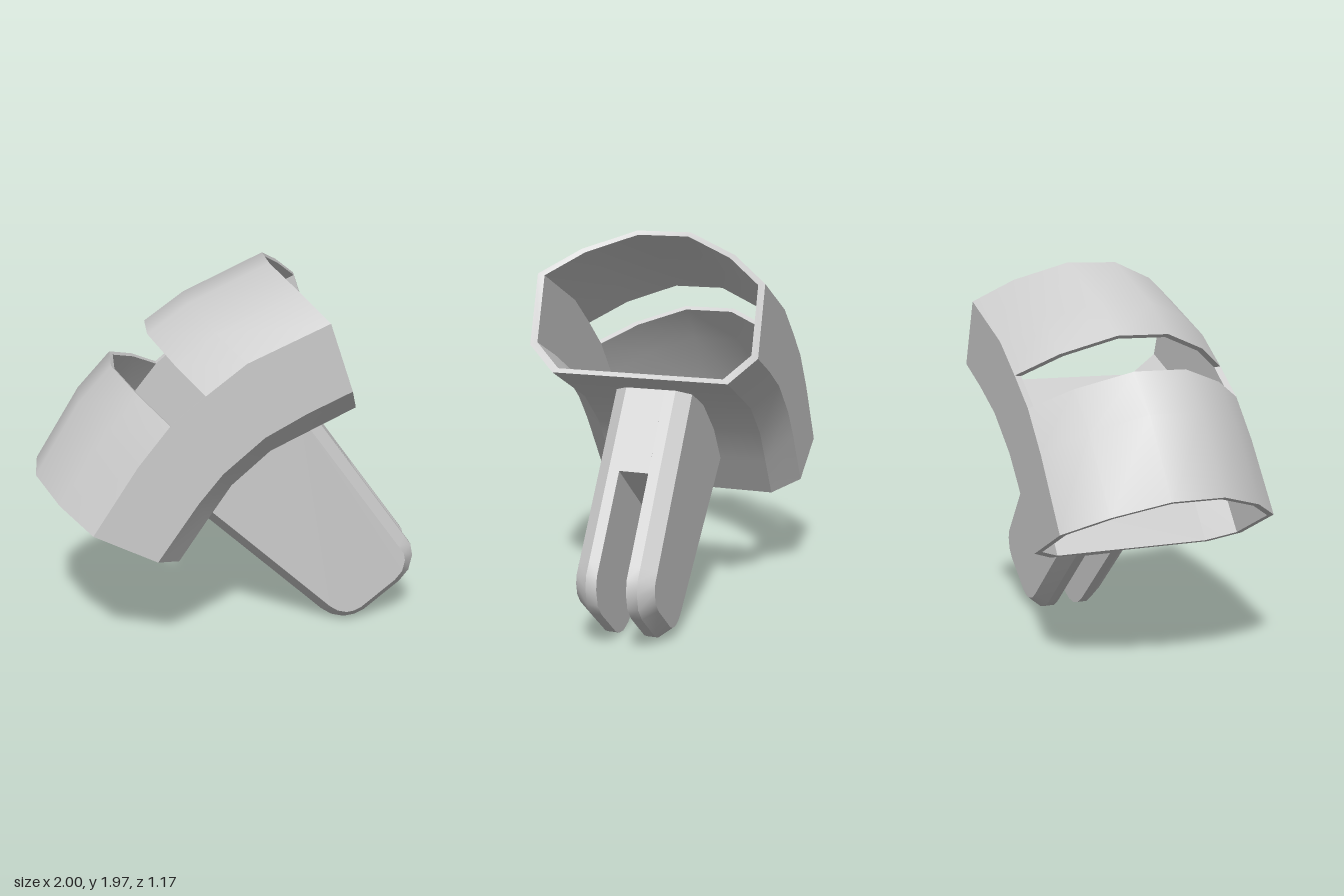
import * as THREE from 'three';
import { toCreasedNormals } from 'three/addons/utils/BufferGeometryUtils.js';

const material = new THREE.MeshStandardMaterial({ color: 0xcccccc });

// Collects quads and fans, then makes a mesh with sharp edges kept
function builder() {
  const pos = [];
  const tri = (a, b, c) => pos.push(...a, ...b, ...c);
  return {
    quad(a, b, c, d, flip = false) {
      if (flip) [b, d] = [d, b];
      tri(a, b, c);
      tri(a, c, d);
    },
    fan(ring) {
      for (let i = 1; i < ring.length - 1; i++) tri(ring[0], ring[i], ring[i + 1]);
    },
    wall(r0, r1) {
      r0.forEach((p, j) => {
        const k = (j + 1) % r0.length;
        this.quad(p, r0[k], r1[k], r1[j]);
      });
    },
    mesh(name) {
      const g = new THREE.BufferGeometry();
      g.setAttribute('position', new THREE.Float32BufferAttribute(pos, 3));
      const m = new THREE.Mesh(toCreasedNormals(g, 0.6), material);
      m.name = name;
      return m;
    },
  };
}

// Moves every edge of a counter-clockwise outline inward by dist(edge index)
function inset(pts, dist) {
  const n = pts.length;
  const lines = pts.map(([x, y], i) => {
    const [u, v] = pts[(i + 1) % n];
    const l = Math.hypot(u - x, v - y);
    const nx = -(v - y) / l, ny = (u - x) / l;
    return [nx, ny, nx * x + ny * y + dist(i)];
  });
  return pts.map((_, i) => {
    const [a, b, c] = lines[(i + n - 1) % n], [d, e, f] = lines[i];
    const det = a * e - b * d;
    return [(c * e - b * f) / det, (a * f - c * d) / det];
  });
}

// Curved open sleeve: five rails per side, six stations along the bend
function sleeve() {
  const rails = [
    { z: 0.14, p: [[-1, 0.89], [-0.77, 1.27], [-0.6, 1.46], [-0.415, 1.62], [-0.21, 1.77], [0.2, 1.965]] },
    { z: 0.4, p: [[-0.88, 0.815], [-0.65, 1.18], [-0.475, 1.375], [-0.3, 1.53], [-0.1, 1.68], [0.31, 1.875]] },
    { z: 0.585, p: [[-0.72, 0.72], [-0.495, 1.07], [-0.335, 1.275], [-0.163, 1.42], [0.035, 1.575], [0.435, 1.76]] },
    { z: 0.585, p: [[-0.405, 0.567], [-0.2, 0.87], [-0.08, 1.02], [0.125, 1.2], [0.33, 1.315], [0.55, 1.42]] },
    { z: 0.45, p: [[-0.29, 0.51], [-0.147, 0.727], [-0.024, 0.91], [0.17, 1.085], [0.4, 1.2], [0.595, 1.297]] },
  ];
  const outer = [], inner = [];
  for (let i = 0; i < 6; i++) {
    const half = rails.map((r) => [...r.p[i], r.z]);
    const ring = [...half, ...half.map(([x, y, z]) => [x, y, -z]).reverse()];
    const cx = (half[0][0] + half[4][0]) / 2, cy = (half[0][1] + half[4][1]) / 2;
    outer.push(ring);
    inner.push(ring.map(([x, y, z]) => [cx + (x - cx) * 0.94, cy + (y - cy) * 0.94, z * 0.94]));
  }
  const b = builder();
  const isTop = (j) => j < 2 || j > 6;
  const rim = (i, j, flip) => {
    const k = (j + 1) % 10;
    b.quad(outer[i][j], inner[i][j], inner[i][k], outer[i][k], flip);
  };
  for (let j = 0; j < 10; j++) {
    const k = (j + 1) % 10;
    for (let i = 0; i < 5; i++) {
      if (i === 2 && isTop(j)) continue; // slot across the top
      b.quad(outer[i][j], outer[i][k], outer[i + 1][k], outer[i + 1][j]);
      b.quad(inner[i][j], inner[i][k], inner[i + 1][k], inner[i + 1][j], true);
    }
    rim(0, j, false);
    rim(5, j, true);
    if (isTop(j)) {
      rim(2, j, true);
      rim(3, j, false);
    }
  }
  // Slot floor on both side walls
  for (const j of [2, 7]) b.quad(outer[2][j], outer[3][j], inner[3][j], inner[2][j], j === 7);
  return b.mesh('curvedSleeve');
}

// Forked leg: two chamfered prongs joined by a core above the slot
function leg() {
  const top = [[0.405, 1.21], [0.165, 1.095], [-0.034, 0.918], [-0.157, 0.733], [-0.19, 0.68]];
  const tip = [[0.505, 0.053], [0.56, 0.017], [0.63, 0], [0.69, 0.01], [0.74, 0.035],
    [0.93, 0.195], [0.98, 0.26], [0.998, 0.345], [0.985, 0.41], [0.945, 0.465]];
  const slotEnds = [[0.125, 0.396], [0.67, 0.845]];
  const at = (pts, z) => pts.map(([x, y]) => [x, y, z]);
  const outline = [...top, ...tip];
  const face = inset(outline, (i) => (i < top.length - 1 ? 0 : 0.055));
  const group = new THREE.Group();
  group.name = 'forkedLeg';

  const b = builder();
  b.wall(at(outline, 0.075), at(outline, 0.13));
  b.wall(at(outline, 0.13), at(face, 0.2));
  b.fan(at(face, 0.2));
  b.fan(at([slotEnds[0], ...tip, slotEnds[1]], 0.075).reverse());
  const left = b.mesh('frontProng');
  const right = left.clone();
  right.name = 'backProng';
  right.scale.z = -1;

  const c = builder();
  const coreOutline = [...top, slotEnds[0], slotEnds[1]];
  c.wall(at(coreOutline, -0.075), at(coreOutline, 0.075));
  group.add(left, right, c.mesh('legCore'));
  return group;
}

export function createModel() {
  const model = new THREE.Group();
  model.name = 'model';
  model.add(sleeve(), leg());
  return model;
}
